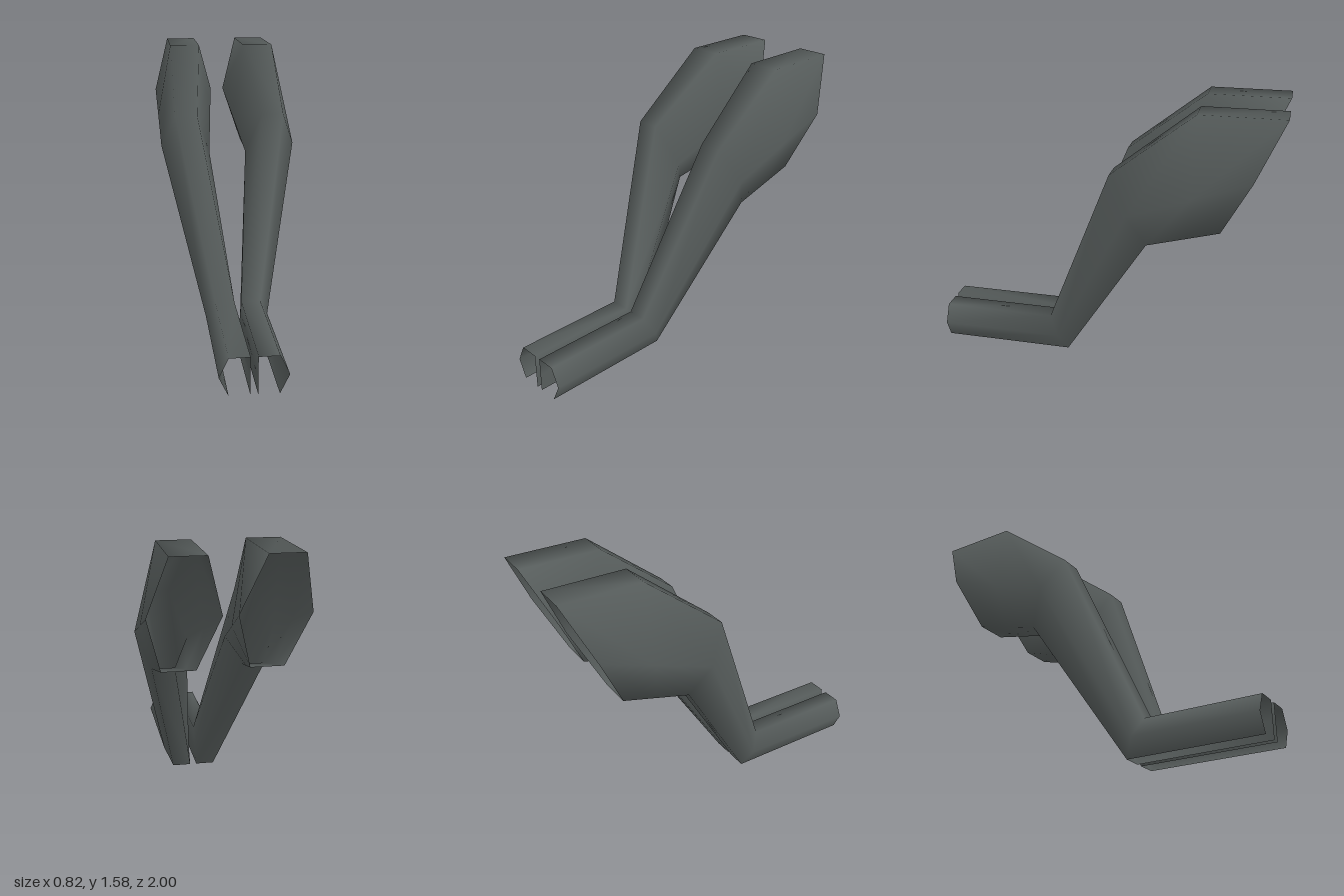
import * as THREE from 'three';

const legGrey = new THREE.MeshStandardMaterial({ color: 0x565c5b, side: THREE.DoubleSide });
legGrey.name = 'legGrey';

// Six-sided rings from hip to toe:
// top inner, top outer, mid outer, bottom outer, bottom inner, mid inner
const hip = [[.14, 1.58, -1], [.32, 1.58, -1], [.41, 1.26, -.85], [.32, .94, -.69], [.14, .94, -.69], [.04, 1.26, -.85]];
const knee = [[.19, 1.22, -.08], [.32, 1.22, -.08], [.4, 1.02, -.19], [.32, .83, -.29], [.19, .83, -.29], [.11, .97, -.2]];
const ankle = [[.02, .21, .33], [.13, .21, .33], [.18, .105, .275], [.13, 0, .22], [.02, 0, .22], [.02, .105, .275]];
const toe = ankle.map(([x, y]) => [x, y, 1]);

// The thigh ring lies halfway between hip and knee, with its top raised level with the hip
const thigh = hip.map((p, i) => p.map((v, k) => v + (knee[i][k] - v) * 0.48));
thigh[0] = [.14, 1.58, -.54];
thigh[1] = [.32, 1.58, -.54];

const rings = [hip, thigh, knee, ankle, toe];

// Smooth open tube through the rings; the sole under the foot stays open
function legGeometry(side) {
  const n = 6, index = [];
  const positions = rings.flat().flatMap(([x, y, z]) => [side * x, y, z]);
  for (let r = 0; r < rings.length - 1; r++) {
    for (let i = 0; i < n; i++) {
      if (r === 3 && i === 3) continue;
      const a = r * n + i, b = r * n + (i + 1) % n, c = b + n, d = a + n;
      if (side > 0) index.push(a, d, c, a, c, b);
      else index.push(a, c, d, a, b, c);
    }
  }
  const g = new THREE.BufferGeometry();
  g.setAttribute('position', new THREE.Float32BufferAttribute(positions, 3));
  g.setIndex(index);
  g.computeVertexNormals();
  return g;
}

export function createModel() {
  const model = new THREE.Group();
  model.name = 'legs';
  for (const side of [1, -1]) {
    const leg = new THREE.Mesh(legGeometry(side), legGrey);
    leg.name = side > 0 ? 'leftLeg' : 'rightLeg';
    model.add(leg);
  }
  return model;
}
